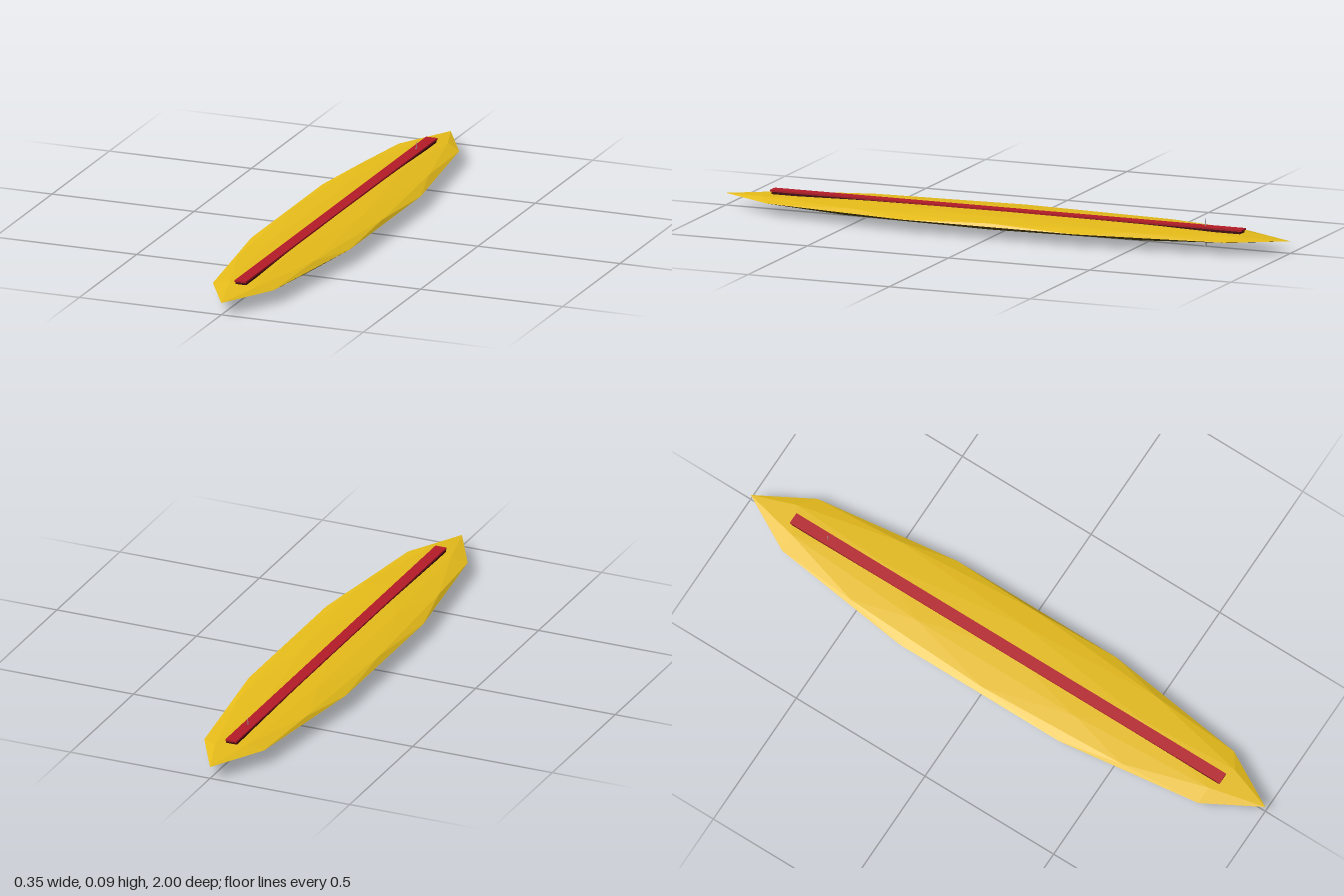
import * as THREE from 'three';

export function createModel() {
  const model = new THREE.Group();
  const material = (name, color) => {
    const m = new THREE.MeshStandardMaterial({ color });
    m.name = name;
    return m;
  };
  const gold = material('gold', 0xe6bc1a);
  const darkOlive = material('darkOlive', 0x55460f);
  const red = material('red', 0xb41c28);
  const darkRed = material('darkRed', 0x430b10);
  const silver = material('silver', 0xb8b8b8);

  const add = (name, geometry, mat, x, y, z) => {
    const mesh = new THREE.Mesh(geometry, mat);
    mesh.name = name;
    mesh.position.set(x, y, z);
    model.add(mesh);
  };

  // Hull: low-poly icosphere turned to stand on a corner, flattened, with faceted normals
  const hull = new THREE.IcosahedronGeometry(1, 1);
  hull.rotateZ(-Math.atan(2 / (1 + Math.sqrt(5))));
  hull.scale(0.182, 0.0225, 1);
  hull.computeVertexNormals();
  // Gold deck above the equator, dark bottom below it
  const normals = hull.attributes.normal;
  for (let i = 0; i < normals.count; i += 3) {
    hull.addGroup(i, 3, normals.getY(i) > 0 ? 0 : 1);
  }
  add('hull', hull, [gold, darkOlive], 0, 0.0405, 0);

  // Stripe running along the deck, on a dark base
  add('deckStripe', new THREE.BoxGeometry(0.04, 0.006, 1.67), red, 0, 0.0645, 0);
  add('stripeBase', new THREE.BoxGeometry(0.038, 0.008, 1.66), darkRed, 0, 0.0575, 0);

  // Slender fin passing through the hull near the tail
  add('tailFin', new THREE.CylinderGeometry(0.0008, 0.0055, 0.093, 8), silver, 0, 0.0465, -0.7);

  return model;
}
